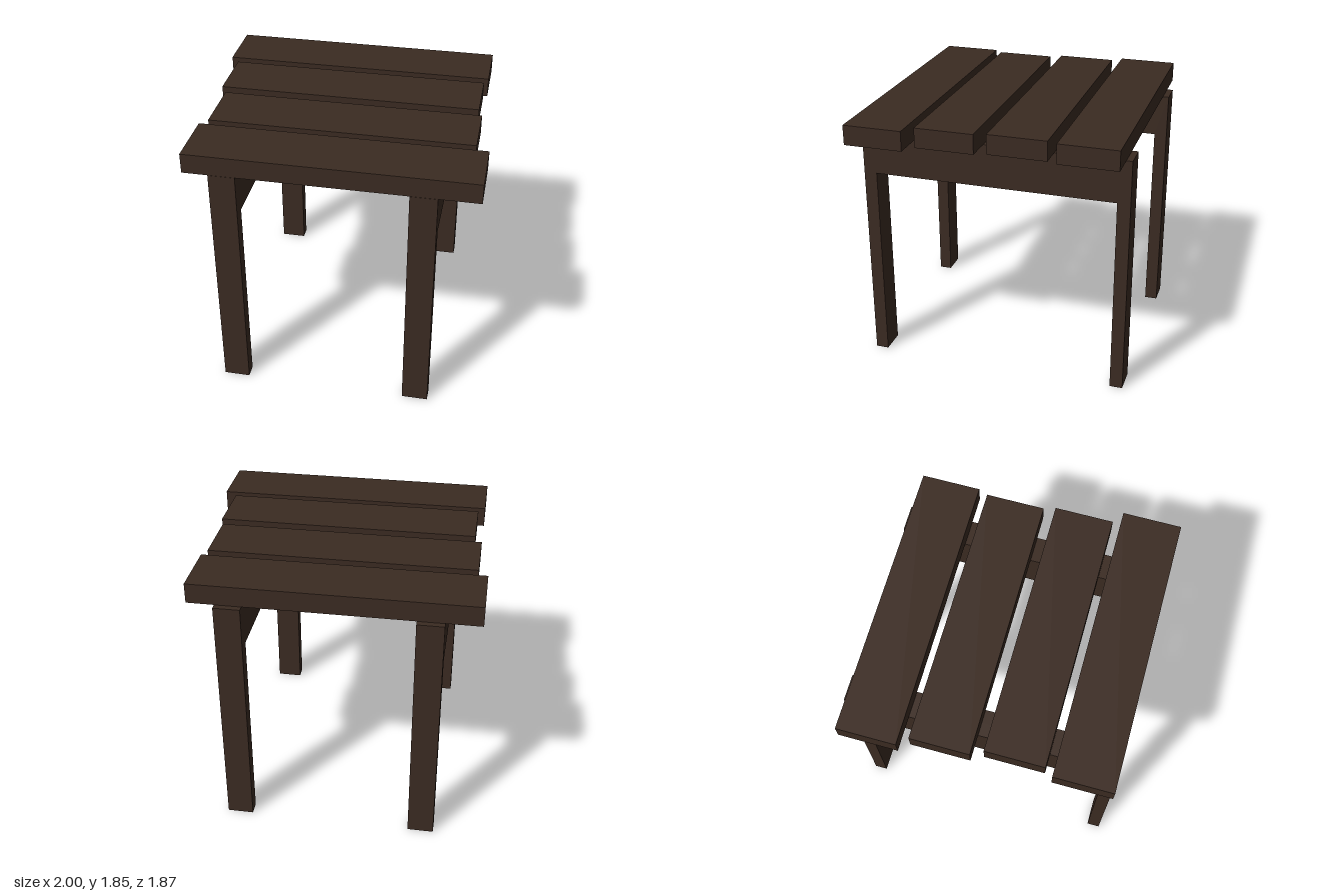
import * as THREE from 'three';

export function createModel() {
  const group = new THREE.Group();
  const darkWood = new THREE.MeshStandardMaterial({ color: 0x3b2b22 });
  darkWood.name = 'darkWood';

  const frameTop = 1.71, railBottom = 1.41, legWidth = 0.18;
  const outer = 0.933, inner = 0.843;

  // Side frames: two legs joined by a deep rail, cut as one arch profile
  const profile = new THREE.Shape([
    [-outer, 0], [-inner, 0], [-inner, railBottom], [inner, railBottom],
    [inner, 0], [outer, 0], [outer, frameTop], [-outer, frameTop],
  ].map(([z, y]) => new THREE.Vector2(z, y)));
  const frameGeometry = new THREE.ExtrudeGeometry(profile, { depth: legWidth, bevelEnabled: false });
  frameGeometry.translate(0, 0, -legWidth / 2);
  frameGeometry.rotateY(-Math.PI / 2);
  for (const [name, x] of [['rightLegFrame', -0.672], ['leftLegFrame', 0.636]]) {
    const frame = new THREE.Mesh(frameGeometry, darkWood);
    frame.name = name;
    frame.position.x = x;
    group.add(frame);
  }

  // Top planks, back to front, with uneven ends: [x start, x end, z centre]
  const planks = [
    [-1, 0.914, -0.688],
    [-0.937, 0.887, -0.217],
    [-0.89, 0.914, 0.267],
    [-0.937, 1, 0.728],
  ];
  const thickness = 0.138, depth = 0.406;
  planks.forEach(([x0, x1, z], i) => {
    const plank = new THREE.Mesh(new THREE.BoxGeometry(x1 - x0, thickness, depth), darkWood);
    plank.name = `topPlank${i + 1}`;
    plank.position.set((x0 + x1) / 2, frameTop + thickness / 2, z);
    group.add(plank);
  });

  return group;
}
